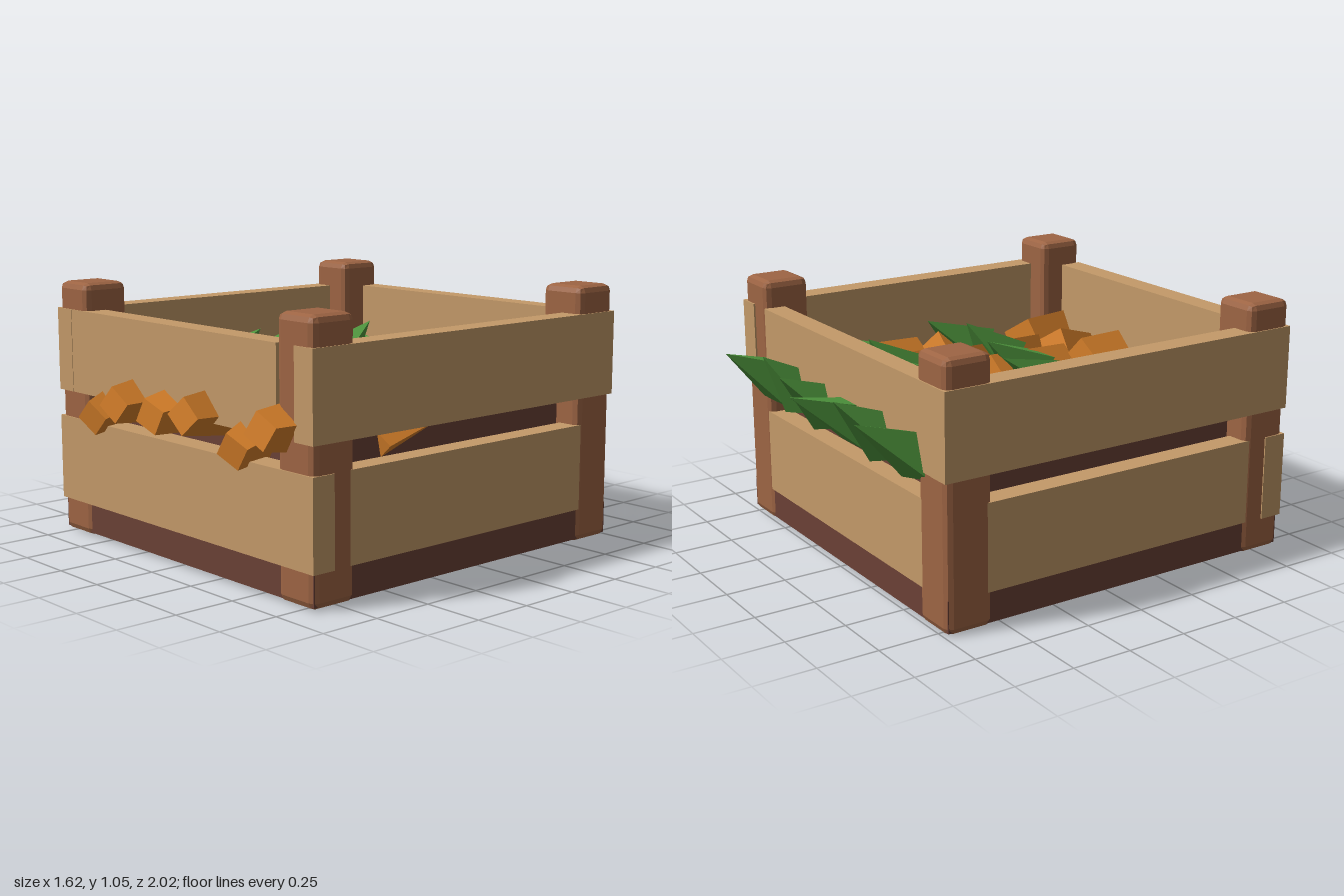
import * as THREE from 'three';
import { RoundedBoxGeometry } from 'three/addons/geometries/RoundedBoxGeometry.js';

const mat = (name, color) => new THREE.MeshStandardMaterial({ name, color });

// Hard facets for every face
function faceted(geo) {
  const g = geo.index ? geo.toNonIndexed() : geo;
  g.computeVertexNormals();
  return g;
}

export function createModel() {
  const model = new THREE.Group();
  model.name = 'carrotCrate';
  const plankWood = mat('plankWood', 0xc49a69);
  const postWood = mat('postWood', 0x9e6544);
  const soil = mat('soil', 0x6b4136);
  const orange = mat('carrotOrange', 0xdf852c);
  const green = mat('leafGreen', 0x50983e);

  const add = (name, geo, material, parent = model) => {
    const m = new THREE.Mesh(geo, material);
    m.name = name;
    parent.add(m);
    return m;
  };

  // Box given by its extents on each axis
  const box = (name, material, [x0, x1], [y0, y1], [z0, z1]) =>
    add(name, new THREE.BoxGeometry(x1 - x0, y1 - y0, z1 - z0), material)
      .position.set((x0 + x1) / 2, (y0 + y1) / 2, (z0 + z1) / 2);

  // Square tapered spike running from a to b, turned about its own axis
  const spike = (name, material, parent, a, b, rA, rB, roll) => {
    const dir = b.clone().sub(a);
    const geo = new THREE.CylinderGeometry(rB, rA, dir.length(), 4, 1);
    geo.rotateY(roll);
    const m = add(name, faceted(geo), material, parent);
    m.position.copy(a).add(b).multiplyScalar(0.5);
    // Yaw and pitch only, so the roll stays level
    const flat = Math.hypot(dir.x, dir.z);
    m.rotation.order = 'YXZ';
    m.rotation.set(Math.atan2(flat, dir.y), Math.atan2(dir.x, dir.z), 0);
  };

  // Corner posts with chamfered edges
  for (const x of [-0.705, 0.705])
    for (const z of [-0.643, 0.773])
      add('cornerPost', faceted(new RoundedBoxGeometry(0.2, 1.055, 0.2, 1, 0.028)), postWood)
        .position.set(x, 0.5275, z);

  // Base slab and soil filling
  box('baseSlab', soil, [-0.798, 0.798], [0.012, 0.142], [-0.736, 0.866]);
  box('soilFill', soil, [-0.692, 0.692], [0.14, 0.592], [-0.655, 0.748]);

  // Upper planks: front and back stop short of the posts on one side
  const upper = [0.6, 0.943], lower = [0.137, 0.49];
  box('upperFrontPlank', plankWood, [-0.808, 0.61], upper, [0.778, 0.877]);
  box('upperBackPlank', plankWood, [-0.808, 0.61], upper, [-0.748, -0.658]);
  box('upperSidePlank', plankWood, [0.71, 0.81], upper, [-0.75, 0.879]);
  box('upperSidePlank', plankWood, [-0.81, -0.71], upper, [-0.75, 0.879]);

  // Lower planks: only the front one laps over the posts
  box('lowerFrontPlank', plankWood, [-0.81, 0.81], lower, [0.778, 0.879]);
  box('lowerBackPlank', plankWood, [-0.65, 0.65], lower, [-0.741, -0.655]);
  box('lowerSidePlank', plankWood, [0.71, 0.803], lower, [-0.6, 0.72]);
  box('lowerSidePlank', plankWood, [-0.803, -0.71], lower, [-0.6, 0.72]);

  // Rows of carrots; each number is the height of the carrot's tip
  const columns = [-0.57, -0.34, -0.11, 0.12, 0.345, 0.57];
  const tipHeights = [
    [0.53, 0.62, 0.51, 0.62, 0.64, 0.62],
    [0.63, 0.54, 0.49, 0.62, 0.62, 0.53],
    [0.53, 0.62, 0.605, 0.64, 0.535, 0.65],
  ];
  const leafTips = [-0.98, -0.94, -1.0, -0.93, -0.89, -0.95];
  tipHeights.forEach((row, r) => row.forEach((tipY, c) => {
    const carrot = new THREE.Group();
    carrot.name = 'carrot';
    model.add(carrot);
    const x = columns[c], z = r * 0.485;
    const reach = 0.4 + Math.min(tipY - 0.5, 0.13) * 0.55;
    const wobble = 0.2 * Math.sin(r * 5 + c * 2.3);
    const head = new THREE.Vector3(x - 0.015, 0.615, z - 0.44);
    const tip = new THREE.Vector3(x + 0.1, tipY, z - 0.44 + reach);
    spike('carrotRoot', orange, carrot, head, tip, 0.125, 0.073, 0.15 + wobble);
    // Leaf spike leaning up and back
    const base = new THREE.Vector3(x + 0.005, 0.625, z - 0.69);
    const leafTip = new THREE.Vector3(x, 0.8 + 0.02 * Math.sin(c * 2), leafTips[c] + z);
    spike('leaf', green, carrot, base, leafTip, 0.125, 0, Math.PI / 4 + 0.2 + wobble);
  }));

  return model;
}
